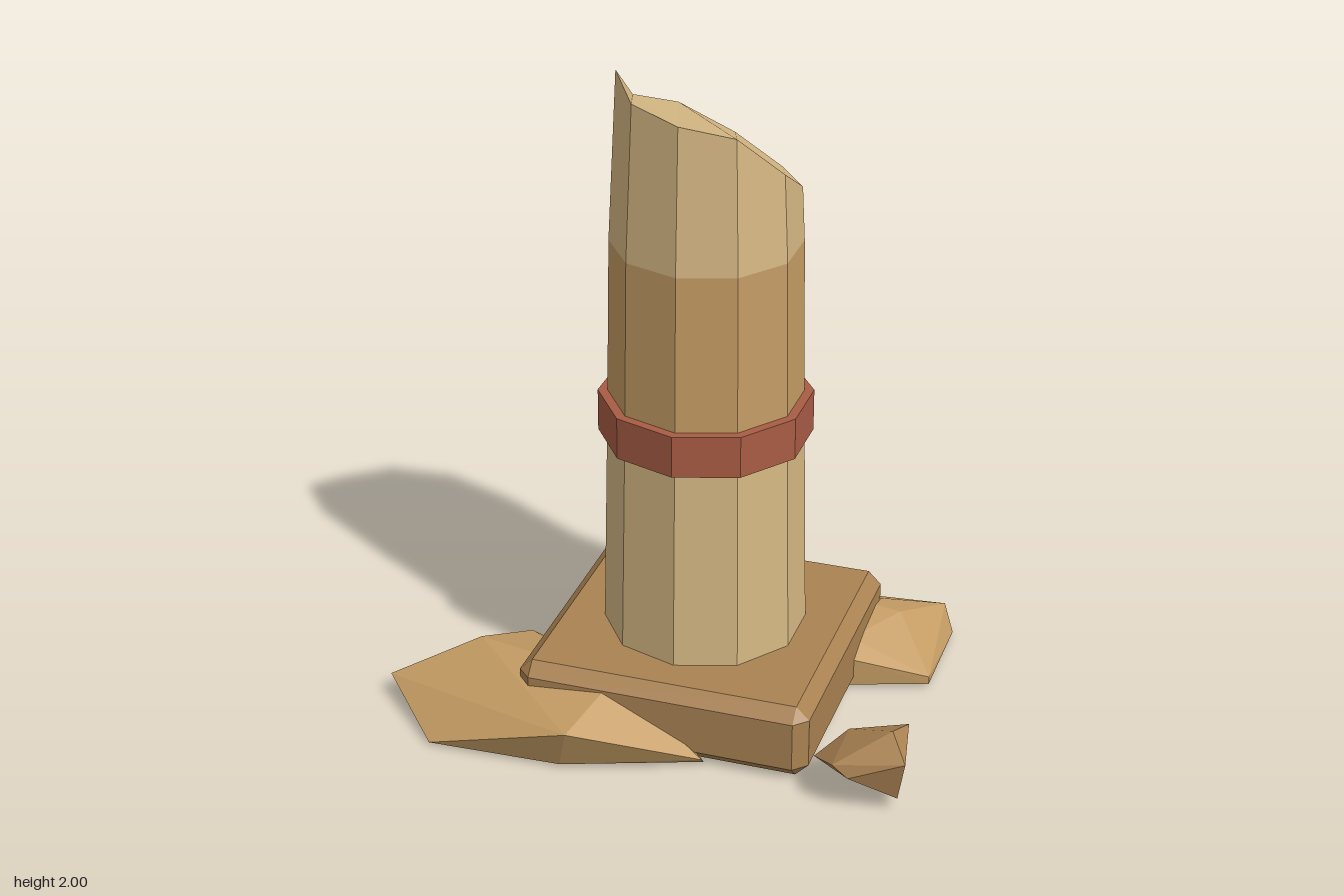
import * as THREE from 'three';
import { ConvexGeometry } from 'three/addons/geometries/ConvexGeometry.js';

const CX = 0.06, CZ = -0.015, SIDES = 10;

const material = (color) => new THREE.MeshStandardMaterial({ color, flatShading: true });

function add(group, name, geometry, mat, x = 0, y = 0, z = 0) {
  const mesh = new THREE.Mesh(geometry, mat);
  mesh.name = name;
  mesh.position.set(x, y, z);
  group.add(mesh);
}

const hull = (points) => new ConvexGeometry(points.map((p) => new THREE.Vector3(...p)));

// Box with every edge chamfered by b; arguments are half sizes
function chamferedBox(hx, hy, hz, b) {
  const points = [];
  for (const x of [-1, 1]) for (const y of [-1, 1]) for (const z of [-1, 1]) {
    points.push(
      [x * hx, y * (hy - b), z * (hz - b)],
      [x * (hx - b), y * hy, z * (hz - b)],
      [x * (hx - b), y * (hy - b), z * hz]);
  }
  return hull(points);
}

// Broken column top: a ring of sides rising to uneven heights, closed by a zigzag strip
function brokenTop(y0, r0, heights) {
  const ring = (k, y, r) => {
    const a = (k / SIDES) * Math.PI * 2;
    return [Math.sin(a) * r, y, Math.cos(a) * r];
  };
  const low = heights.map((_, k) => ring(k, y0, r0));
  const top = heights.map((y, k) => ring(k, y, r0 - 0.05 * (y - y0)));
  const pos = [];
  const tri = (a, b, c) => pos.push(...a, ...b, ...c);
  for (let k = 0; k < SIDES; k++) {
    const n = (k + 1) % SIDES;
    tri(low[k], low[n], top[n]);
    tri(low[k], top[n], top[k]);
  }
  // Strip across the break, starting at the spike (8) and ending opposite it (3)
  tri(top[7], top[8], top[9]);
  for (let i = 0; i < 3; i++) {
    const a = 7 - i, b = (9 + i) % SIDES, nb = (b + 1) % SIDES;
    tri(top[a], top[b], top[nb]);
    tri(top[a], top[nb], top[a - 1]);
  }
  tri(top[4], top[2], top[3]);
  const geometry = new THREE.BufferGeometry();
  geometry.setAttribute('position', new THREE.Float32BufferAttribute(pos, 3));
  geometry.computeVertexNormals();
  return geometry;
}

export function createModel() {
  const model = new THREE.Group();
  model.name = 'brokenColumn';
  const pale = material(0xd6b884);
  const sand = material(0xc49c64);
  const brown = material(0xaa8252);
  const clay = material(0xa85c44);

  // Plinth
  add(model, 'plinth', chamferedBox(0.45, 0.1175, 0.448, 0.04), brown, CX, 0.1175, CZ);

  // Shaft in three drums
  const drum = (y0, y1, r0, r1) => new THREE.CylinderGeometry(r1, r0, y1 - y0, SIDES);
  add(model, 'lowerShaft', drum(0.2, 0.94, 0.308, 0.291), pale, CX, 0.57, CZ);
  add(model, 'middleShaft', drum(0.94, 1.485, 0.291, 0.281), sand, CX, 1.2125, CZ);
  add(model, 'brokenShaft', brokenTop(1.485, 0.281,
    [1.925, 1.89, 1.75, 1.65, 1.645, 1.715, 1.81, 1.87, 2.0, 1.955]), pale, CX, 0, CZ);

  // Band around the shaft
  add(model, 'band', drum(0.875, 1.005, 0.3186, 0.3186), clay, CX, 0.94, CZ);

  // Fallen rubble
  add(model, 'largeRubble', hull([
    [-0.83, 0.07, 0.36], [-0.58, 0.175, 0.23], [-0.68, 0.07, 0.175], [-0.49, 0.1, 0.035],
    [-0.1, 0.2, 0.36], [-0.16, 0.155, 0.63], [-0.61, 0.01, 0.59], [-0.2, 0.01, 0.575],
    [0.2, 0.03, 0.45], [0.2, 0.01, 0.43], [-0.69, 0.01, 0.33], [-0.48, 0.01, 0.08],
    [-0.1, 0.01, 0.08],
  ]), sand);
  add(model, 'backRubble', hull([
    [0.295, 0.01, -0.635], [0.69, 0.08, -0.56], [0.73, 0.01, -0.51], [0.73, 0.035, -0.19],
    [0.73, 0.01, -0.19], [0.59, 0.14, -0.37], [0.4, 0.165, -0.37], [0.48, 0.135, -0.18],
    [0.51, 0.1, -0.11], [0.5, 0.01, -0.11], [0.18, 0.01, -0.45], [0.2, 0.1, -0.42],
  ]), sand);
  add(model, 'smallRubble', hull([
    [0.765, 0.23, 0.42], [0.62, 0.17, 0.36], [0.825, 0.18, 0.505], [0.535, 0.1, 0.425],
    [0.615, 0.15, 0.525], [0.665, 0.12, 0.535], [0.8, 0.045, 0.48], [0.62, 0.035, 0.39],
    [0.79, 0.2, 0.325], [0.61, 0.085, 0.285], [0.78, 0.07, 0.34],
  ]), brown);

  return model;
}
